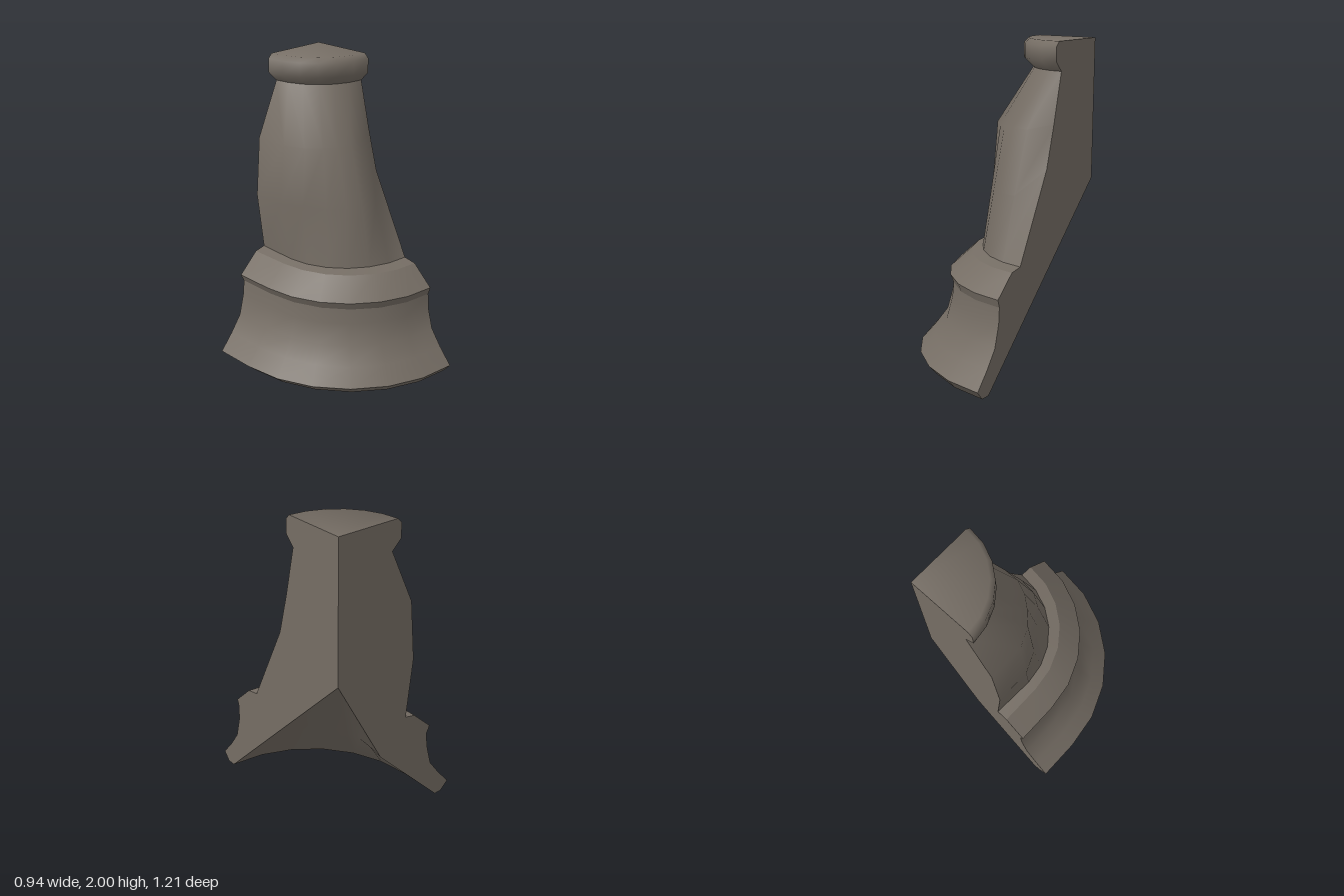
import * as THREE from 'three';
import { toCreasedNormals } from 'three/addons/utils/BufferGeometryUtils.js';

// The two cut planes meet on this vertical axis
const CX = 0.465, CZ = -0.605;

// Quarter ring: a straight run from the back cut, then a 90 degree arc in 15 degree steps.
// x0 is the outer x, zf the z at the side cut, zc the arc centre, back the x at the back cut.
function ring(y, x0, zf, zc = -0.33, back = x0) {
  const pts = [[back, y, CZ]];
  for (let j = 0; j <= 6; j++) {
    const a = j * Math.PI / 12;
    pts.push([CX - (CX - x0) * Math.cos(a), y, zc + (zf - zc) * Math.sin(a)]);
  }
  return pts;
}
// Free ring of [x, z] points at one height, ending higher at the side cut
const level = (y, xz, endY) => xz.map(([x, z], k) => [x, k === 7 ? endY : y, z]);
const point = (y) => Array.from({ length: 8 }, () => [CX, y, CZ]);

// Skin a list of rings
function loft(rings, crease) {
  const pos = [];
  const tri = (...t) => {
    const [a, b, c] = t.map((p) => new THREE.Vector3(...p));
    if (b.sub(a).cross(c.sub(a)).length() > 1e-7) pos.push(...t.flat());
  };
  for (let i = 0; i + 1 < rings.length; i++) {
    const r = rings[i], s = rings[i + 1];
    for (let k = 0; k < 7; k++) {
      tri(r[k], r[k + 1], s[k + 1]);
      tri(r[k], s[k + 1], s[k]);
    }
  }
  const g = new THREE.BufferGeometry();
  g.setAttribute('position', new THREE.Float32BufferAttribute(pos, 3));
  return toCreasedNormals(g, crease);
}

export function createModel() {
  const group = new THREE.Group();
  const stone = new THREE.MeshStandardMaterial({ color: 0x756d64 });
  stone.name = 'stone';
  const add = (name, geometry) => {
    const m = new THREE.Mesh(geometry, stone);
    m.name = name;
    group.add(m);
  };

  // Conical hollow below, shallower towards the back cut
  const rim = ring(0, -0.36, 0.5);
  const mid = rim.map(([x, , z], k) => {
    const t = 0.405 + 0.145 * Math.min(1, k / 5);
    return [CX + (x - CX) * t, 0.5, CZ + (z - CZ) * t];
  });
  const hollow = [point(1.11), mid, rim];

  // Flared foot and moulded ledge
  const foot = [
    ring(0, -0.41, 0.56), ring(0.055, -0.47, 0.605), ring(0.16, -0.38, 0.517),
    ring(0.27, -0.3, 0.44), ring(0.41, -0.263, 0.403), ring(0.51, -0.252, 0.397),
  ];
  const shaftFoot = ring(0.705, -0.077, 0.19, -0.33, -0.065);
  const ledge = [foot[5], ring(0.56, -0.276, 0.412), ring(0.69, -0.138, 0.274), shaftFoot];

  // Bulging shaft that turns round towards the neck
  const neck = ring(1.82, 0.085, -0.22, CZ);
  const shaft = [
    shaftFoot,
    level(1.09, [[-0.11, CZ], [-0.112, -0.374], [-0.052, -0.24], [0.035, -0.11],
      [0.12, -0.015], [0.21, 0.04], [0.32, 0.052], [CX, -0.077]], 1.245),
    level(1.475, [[-0.075, CZ], [-0.077, -0.37], [-0.02, -0.245], [0.06, -0.165],
      [0.13, -0.11], [0.22, -0.072], [0.32, -0.075], [CX, -0.148]], 1.51),
    neck,
  ];

  // Round cap
  const cap = [neck, ring(1.88, 0.022, -0.162, CZ), ring(1.97, 0.022, -0.162, CZ),
    ring(2, 0.05, -0.19, CZ), point(2)];

  add('hollowUnderside', loft(hollow, 1.2));
  add('footRim', loft([rim, foot[0]], 0.5));
  add('flaredFoot', loft(foot, 1.2));
  add('ledge', loft(ledge, 0.4));
  add('shaft', loft(shaft, 1.2));
  add('cap', loft(cap, 0.9));

  // Flat cut faces closing the side and the back
  const outline = [...hollow, ...foot, ...ledge.slice(1), ...shaft.slice(1), ...cap.slice(1)];
  const face = (k, axis) => new THREE.ShapeGeometry(
    new THREE.Shape(outline.map((r) => new THREE.Vector2(-r[k][axis], r[k][1]))));
  add('sideCut', face(7, 2).rotateY(Math.PI / 2).translate(CX, 0, 0));
  add('backCut', face(0, 0).rotateY(Math.PI).translate(0, 0, CZ));
  return group;
}
